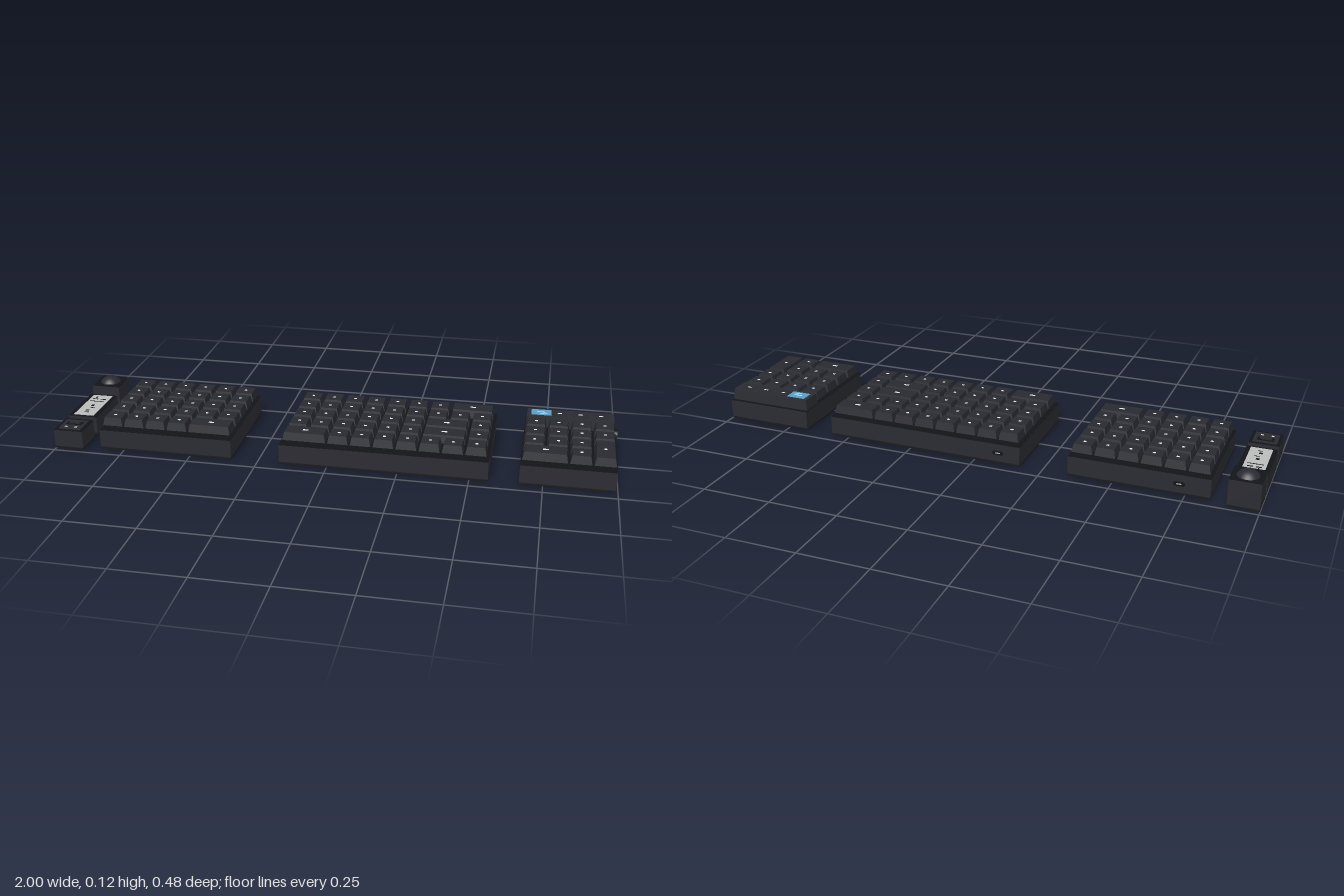
import * as THREE from 'three';

const mat = (name, color) => {
  const m = new THREE.MeshStandardMaterial({ color });
  m.name = name;
  return m;
};

export function createModel() {
  const M = {
    shell: mat('charcoal shell', 0x2b2c33),
    key: mat('dark key plastic', 0x292a31),
    deck: mat('black deck', 0x131418),
    base: mat('black base', 0x1a1a1c),
    legend: mat('white legend', 0xe8e8e8),
    paper: mat('pale paper display', 0xb9bdbb),
    blue: mat('blue display', 0x5a9fc8),
    gold: mat('gold badge', 0x8a6a28),
  };
  const root = new THREE.Group();
  root.name = 'modularKeyboard';

  const add = (parent, name, geo, material, x, y, z) => {
    const m = new THREE.Mesh(geo, material);
    m.name = name;
    m.position.set(x, y, z);
    parent.add(m);
    return m;
  };
  // box given by its centre in x and z and its bottom and top heights
  const box = (parent, name, material, x, z, w, d, y0, y1) =>
    add(parent, name, new THREE.BoxGeometry(w, y1 - y0, d), material, x, (y0 + y1) / 2, z);

  // box whose top face is drawn in on all sides
  const taper = (w, h, d, inset) => {
    const g = new THREE.BoxGeometry(w, h, d);
    const p = g.attributes.position;
    for (let i = 0; i < p.count; i++) {
      if (p.getY(i) < 0) continue;
      p.setX(i, p.getX(i) - Math.sign(p.getX(i)) * inset);
      p.setZ(i, p.getZ(i) - Math.sign(p.getZ(i)) * inset);
    }
    g.computeVertexNormals();
    return g;
  };

  // shell, base plate with a shadow gap, feet and underside badge
  const housing = (name, x0, x1, z0, z1, top) => {
    const g = new THREE.Group();
    g.name = name;
    root.add(g);
    const x = (x0 + x1) / 2, z = (z0 + z1) / 2, w = x1 - x0, d = z1 - z0;
    box(g, 'shell', M.shell, x, z, w, d, 0.0115, top - 0.001);
    box(g, 'deck', M.deck, x, z, w, d, top - 0.001, top);
    box(g, 'basePlate', M.base, x, z, w, d, 0.004, 0.0085);
    box(g, 'spacer', M.base, x, z, w * 0.2, d * 0.2, 0.0085, 0.0115);
    const r = Math.min(0.014, w * 0.1);
    for (const sx of [-1, 1]) for (const sz of [-1, 1]) {
      add(g, 'foot', new THREE.CylinderGeometry(r, r, 0.004, 20), M.base,
        x + sx * (w / 2 - r - 0.015), 0.002, z + sz * (d / 2 - r - 0.015));
    }
    const badge = add(g, 'undersideRing', new THREE.RingGeometry(0.009, 0.015, 24), M.gold, x, 0.0036, z);
    badge.rotation.x = Math.PI / 2;
    add(g, 'undersideDot', new THREE.CylinderGeometry(0.004, 0.004, 0.001, 12), M.gold, x, 0.0036, z);
    return g;
  };

  const U = 0.0803, ROW0 = -0.203, GAP = 0.007, KEY0 = 0.088, KEY1 = 0.117;

  // one key: column and row in key units, with its width and depth
  const key = (parent, x0, col, row, w = 1, d = 1) => {
    const x = x0 + (col + w / 2) * U, z = ROW0 + (row + d / 2) * 0.08;
    add(parent, 'keycap', taper(w * U - GAP, KEY1 - KEY0, d * 0.08 - GAP, 0.006), M.key, x, (KEY0 + KEY1) / 2, z);
    box(parent, 'keyStem', M.deck, x, z, 0.008, 0.008, 0.076, KEY0);
    box(parent, 'legend', M.legend, x, z, w > 1 ? 0.02 : 0.01, 0.009, KEY1 - 0.001, KEY1 + 0.0005);
  };
  // rows of key widths, filled from the left
  const keyRows = (parent, x0, rows, first = 0) => rows.forEach((widths, r) => {
    let c = 0;
    for (const w of widths) { key(parent, x0, c, r + first, w); c += w; }
  });
  const ones = n => Array(n).fill(1);

  // socket on the rear wall
  const port = (parent, x) => {
    const s = new THREE.Shape();
    s.absarc(0.012, 0, 0.008, -Math.PI / 2, Math.PI / 2);
    s.absarc(-0.012, 0, 0.008, Math.PI / 2, Math.PI * 1.5);
    const rim = add(parent, 'portOpening', new THREE.ExtrudeGeometry(s, { depth: 0.001, bevelEnabled: false }),
      M.deck, x, 0.043, -0.213);
    rim.rotation.y = Math.PI;
    add(parent, 'portTongue', new THREE.BoxGeometry(0.018, 0.004, 0.001), M.paper, x, 0.043, -0.2142);
  };

  // left key block
  const left = housing('westKeyBlock', -0.835, -0.345, -0.213, 0.213, 0.077);
  keyRows(left, -0.831, [ones(6), ones(6), ones(6), ones(6), [1, 1, 1, 1, 2]]);
  port(left, -0.73);

  // main key block
  const main = housing('mainKeyBlock', -0.17, 0.565, -0.213, 0.213, 0.077);
  keyRows(main, -0.164, [
    [...ones(7), 2], ones(9), [...ones(6), 2, 1], [...ones(6), 2, 1], [2, ...ones(7)],
  ]);
  port(main, -0.09);

  // number pad with tall key, display bar and side wheel
  const pad = housing('numberPad', 0.67, 0.993, -0.213, 0.213, 0.077);
  keyRows(pad, 0.671, [ones(4), ones(4), ones(3), [2, 1]], 1);
  key(pad, 0.671, 3, 3, 1, 2);
  add(pad, 'displayBar', taper(0.316, 0.041, 0.08, 0.003), M.shell, 0.8315, 0.0965, -0.161);
  box(pad, 'colourDisplay', M.blue, 0.727, -0.164, 0.072, 0.05, 0.116, 0.118);
  box(pad, 'displayLine', M.legend, 0.727, -0.166, 0.03, 0.005, 0.117, 0.1185);
  box(pad, 'displayLine', M.legend, 0.735, -0.152, 0.026, 0.004, 0.117, 0.1185);
  for (const x of [0.793, 0.868, 0.94]) {
    box(pad, 'barButton', M.key, x, -0.163, 0.058, 0.055, 0.116, 0.1178);
    box(pad, 'barIcon', M.legend, x, -0.164, 0.016, 0.006, 0.117, 0.1185);
  }
  box(pad, 'wheelMount', M.key, 0.994, -0.127, 0.008, 0.036, 0.045, 0.07);
  const wheel = add(pad, 'sideWheel', new THREE.CylinderGeometry(0.018, 0.018, 0.012, 24), M.deck, 0.994, 0.067, -0.127);
  wheel.rotation.z = Math.PI / 2;

  // ball module
  const ball = housing('ballModule', -1, -0.893, -0.238, -0.131, 0.103);
  add(ball, 'ball', new THREE.SphereGeometry(0.045, 32, 20), M.key, -0.9465, 0.08, -0.186);

  // paper display module
  const paper = housing('paperDisplayModule', -1, -0.893, -0.11, 0.102, 0.075);
  box(paper, 'paperDisplay', M.paper, -0.9465, -0.004, 0.076, 0.192, 0.074, 0.0765);
  const marks = [
    [-0.962, -0.062, 0.02, 0.006], [-0.932, -0.062, 0.02, 0.006],
    [-0.947, -0.04, 0.055, 0.004], [-0.962, -0.078, 0.004, 0.016],
    [-0.947, 0.0, 0.012, 0.012], [-0.94, 0.022, 0.018, 0.004],
    [-0.95, 0.048, 0.012, 0.01], [-0.945, 0.066, 0.016, 0.004],
  ];
  for (const [x, z, w, d] of marks) box(paper, 'paperMark', M.deck, x, z, w, d, 0.076, 0.0772);

  // slider module
  const slider = housing('sliderModule', -1, -0.893, 0.13, 0.238, 0.075);
  box(slider, 'topPanel', M.key, -0.9465, 0.184, 0.085, 0.086, 0.074, 0.0762);
  box(slider, 'sliderSlot', M.deck, -0.9465, 0.172, 0.06, 0.028, 0.076, 0.077);
  box(slider, 'sliderGrip', M.key, -0.9465, 0.172, 0.04, 0.012, 0.076, 0.081);
  for (const x of [-0.966, -0.929]) box(slider, 'sliderTick', M.legend, x, 0.205, 0.01, 0.007, 0.076, 0.077);

  return root;
}
